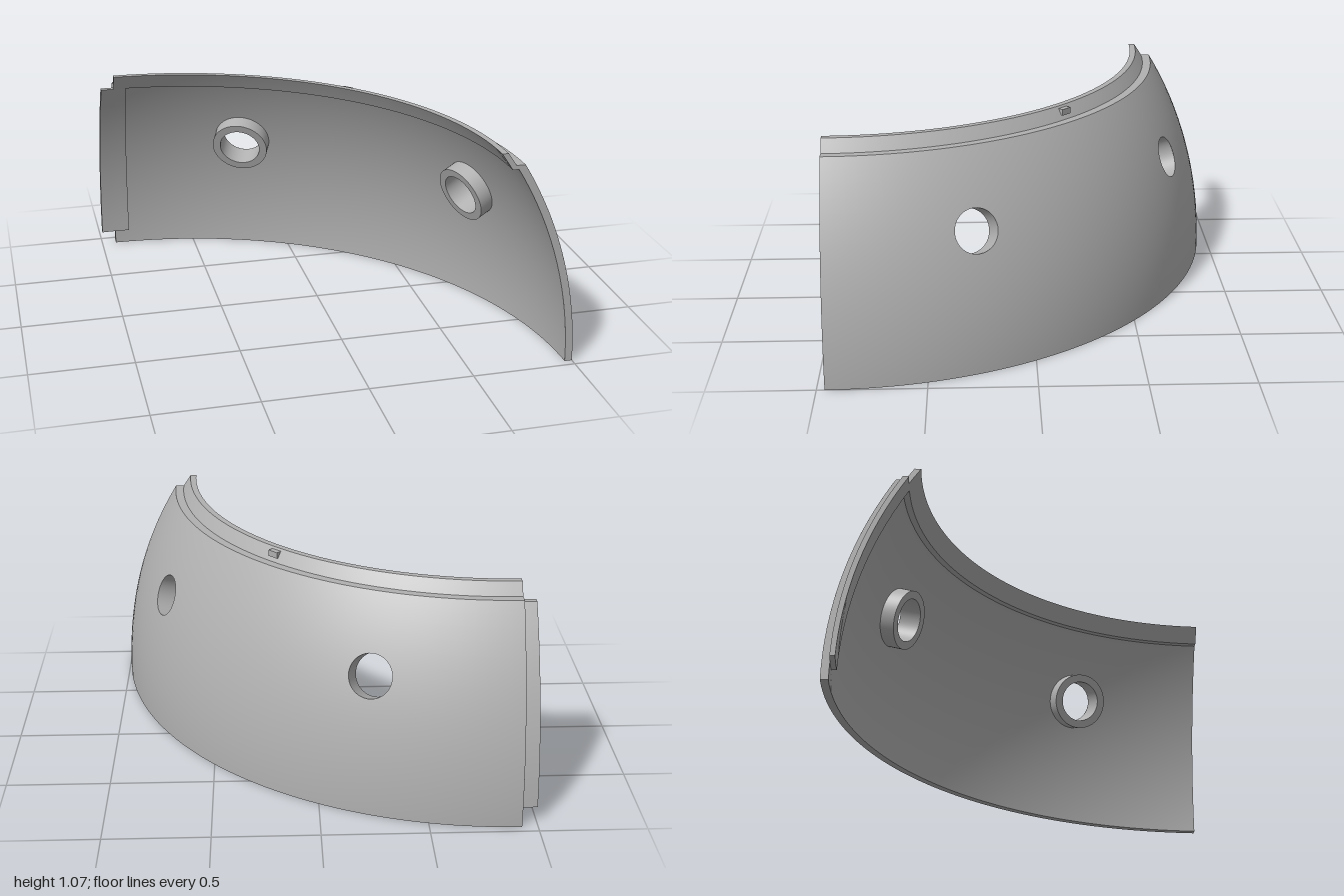
import * as THREE from 'three';
import { toCreasedNormals } from 'three/addons/utils/BufferGeometryUtils.js';

const CX = -0.926, CZ = 0.963;              // centre of the dome
const OUT = 1.926, MID = 1.89, IN = 1.865;  // outer skin, inner skin, lip underside
const RAD = Math.PI / 180, QUARTER = Math.PI / 2;
const HOLE_E = 20 * RAD, HOLE_R = 0.105, BOSS_R = 0.145;
const COLS = 48, HOLE_COLS = [12, 36], HALF = 5, ROW0 = 6, ROW1 = 14;

// unit direction at heading t (0 = back, 90 deg = left) and elevation e
const dir = (t, e) => new THREE.Vector3(Math.cos(e) * Math.sin(t), Math.sin(e), -Math.cos(e) * Math.cos(t));
const radiusAt = (R, y) => Math.sqrt(R * R - y * y);

// points on a meridian of radius R between two heights
function arc(R, y0, y1, n = 16) {
  const pts = [];
  for (let i = 0; i <= n; i++) {
    const y = y0 + (y1 - y0) * i / n;
    pts.push(new THREE.Vector2(radiusAt(R, y), y));
  }
  return pts;
}

// quarter sphere skin with two round holes; side +1 faces out, -1 faces in
function skin(R, topY, holeR, side) {
  const pos = [], nor = [];
  const tri = (a, b, c) => {
    const n = b.clone().sub(a).cross(c.clone().sub(a));
    const order = n.dot(a) * side > 0 ? [a, b, c] : [a, c, b];
    for (const p of order) {
      pos.push(p.x * R, p.y * R, p.z * R);
      nor.push(p.x * side, p.y * side, p.z * side);
    }
  };
  const quad = (a, b, c, d) => { tri(a, b, c); tri(a, c, d); };

  const rows = [];
  for (let j = 0; j <= ROW0; j++) rows.push(2 * j * RAD);
  for (let j = ROW0 + 1; j <= ROW1; j++) rows.push(2 * j * RAD);
  const top = Math.asin(topY / R);
  rows.push((rows[ROW1] + top) / 2, top);
  const at = (i, j) => dir(i / COLS * QUARTER, rows[j]);

  // plain grid outside the hole windows
  for (let i = 0; i < COLS; i++) for (let j = 0; j < rows.length - 1; j++) {
    const inWindow = j >= ROW0 && j < ROW1 && HOLE_COLS.some(h => i >= h - HALF && i < h + HALF);
    if (!inWindow) quad(at(i, j), at(i + 1, j), at(i + 1, j + 1), at(i, j + 1));
  }
  // windows blend from their square border to the round hole
  const alpha = Math.asin(holeR / R);
  for (const h of HOLE_COLS) {
    const border = [];
    for (let i = h - HALF; i < h + HALF; i++) border.push(at(i, ROW0));
    for (let j = ROW0; j < ROW1; j++) border.push(at(h + HALF, j));
    for (let i = h + HALF; i > h - HALF; i--) border.push(at(i, ROW1));
    for (let j = ROW1; j > ROW0; j--) border.push(at(h - HALF, j));
    const t = h / COLS * QUARTER, c = dir(t, HOLE_E);
    const east = dir(t + QUARTER, 0), north = dir(t, HOLE_E + QUARTER);
    const rim = border.map(p => {
      const f = Math.atan2(p.dot(north), p.dot(east));
      return c.clone().multiplyScalar(Math.cos(alpha))
        .addScaledVector(east, Math.sin(alpha) * Math.cos(f))
        .addScaledVector(north, Math.sin(alpha) * Math.sin(f));
    });
    const mix = (k, m) => rim[k].clone().lerp(border[k], m / 4).normalize();
    for (let k = 0; k < border.length; k++) for (let m = 0; m < 4; m++) {
      const n = (k + 1) % border.length;
      quad(mix(k, m), mix(n, m), mix(n, m + 1), mix(k, m + 1));
    }
  }
  const g = new THREE.BufferGeometry();
  g.setAttribute('position', new THREE.Float32BufferAttribute(pos, 3));
  g.setAttribute('normal', new THREE.Float32BufferAttribute(nor, 3));
  return g;
}

const sweep = (pts, t0, t1, seg) =>
  toCreasedNormals(new THREE.LatheGeometry(pts, seg, Math.PI - t1, t1 - t0), 0.5);

export function createModel() {
  const model = new THREE.Group();
  model.name = 'domeSegment';
  const grey = new THREE.MeshStandardMaterial({ color: 0xb0b0b0, side: THREE.DoubleSide });
  grey.name = 'plain grey';

  const dome = new THREE.Group();
  dome.name = 'dome';
  dome.position.set(CX, 0, CZ);
  model.add(dome);
  const add = (name, geometry, parent = dome) => {
    const mesh = new THREE.Mesh(geometry, grey);
    mesh.name = name;
    parent.add(mesh);
    return mesh;
  };
  // flat end face of a section at heading t
  const cap = (name, pts, t) => {
    add(name, new THREE.ShapeGeometry(new THREE.Shape(pts))).rotation.y = QUARTER - t;
  };
  // solid swept round the dome axis, closed at both ends
  const solid = (name, pts, t0, t1, seg) => {
    add(name, sweep([...pts, pts[0]], t0, t1, seg));
    cap(name + 'End', pts, t0);
    cap(name + 'End', pts, t1);
  };
  const v = (x, y) => new THREE.Vector2(x, y);

  // curved wall
  add('outerSkin', skin(OUT, 1.01, HOLE_R, 1));
  add('innerSkin', skin(MID, 0.99, 0.125, -1));
  add('bottomEdge', sweep([v(MID, 0), v(OUT, 0)], 0, QUARTER, COLS));
  add('topLedge', sweep([v(radiusAt(OUT, 1.01), 1.01), v(radiusAt(MID, 1.01), 1.01)], 0, QUARTER, COLS));
  const section = [...arc(OUT, 0, 1.01), ...arc(MID, 1.01, 0)];
  cap('wallEnd', section, 0);
  cap('wallEnd', section, QUARTER);

  // stepped lip along the top, with a small locating key
  solid('topLip', [...arc(MID, 0.99, 1.07, 4), ...arc(IN, 1.07, 0.99, 4)], 0, QUARTER, COLS);
  solid('locatingKey', [v(1.56, 1.03), v(1.592, 1.03), v(1.592, 1.06), v(1.56, 1.06)],
    QUARTER / 2 - 0.0175, QUARTER / 2 + 0.0175, 1);

  // overlapping tab behind the right end
  solid('joinTab', [...arc(MID - 0.001, 0.08, 0.99), ...arc(IN, 0.99, 0.08)], -0.0392, 0.0392, 4);

  // round bosses lining the holes
  const bossProfile = [v(HOLE_R, 1.81), v(BOSS_R, 1.81), v(BOSS_R, 1.905), v(HOLE_R, 1.923), v(HOLE_R, 1.81)];
  for (const h of HOLE_COLS) {
    const boss = add('holeBoss', toCreasedNormals(new THREE.LatheGeometry(bossProfile, 48), 0.4));
    boss.quaternion.setFromUnitVectors(new THREE.Vector3(0, 1, 0), dir(h / COLS * QUARTER, HOLE_E));
  }
  return model;
}
